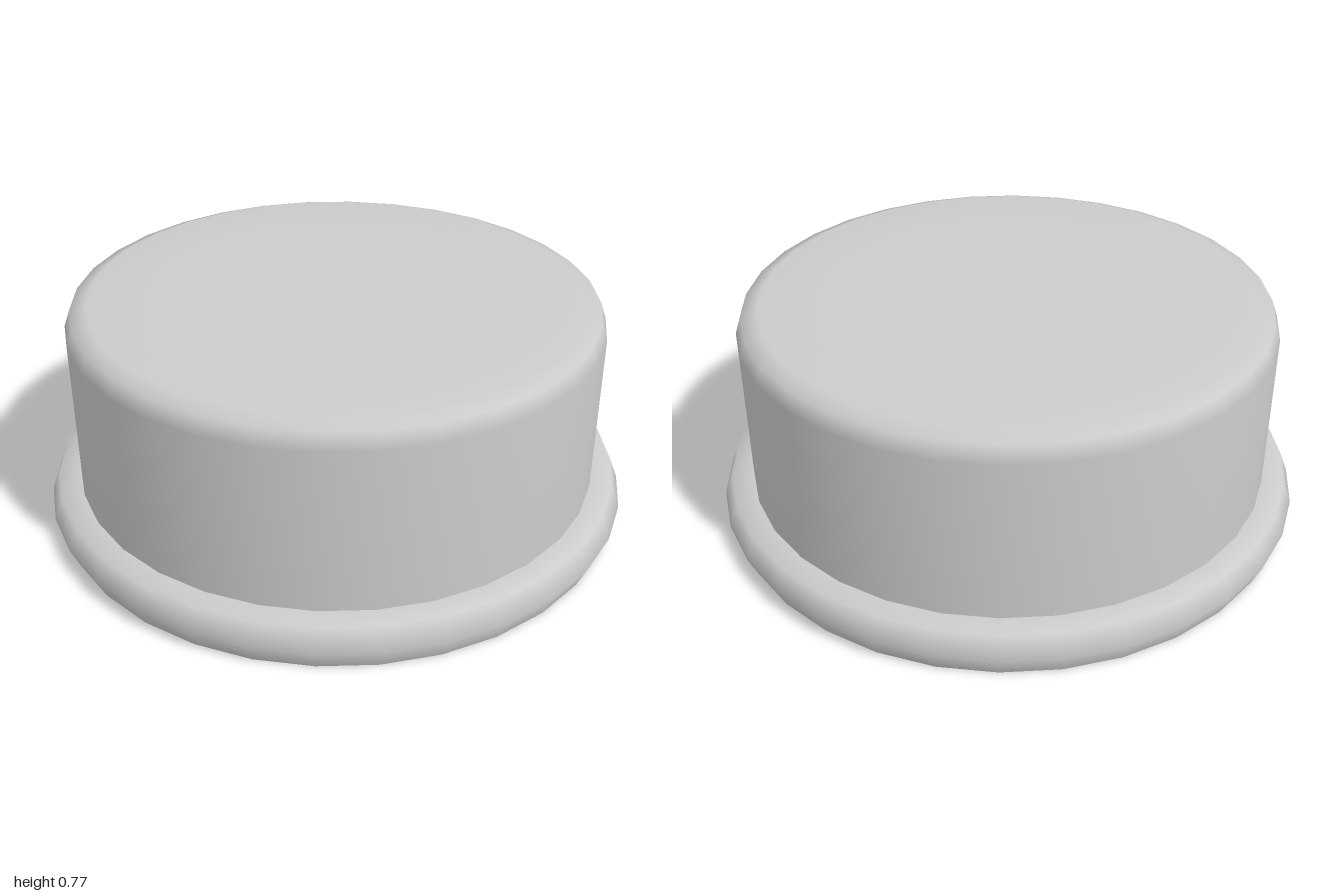
import * as THREE from 'three';

const SIDES = 32;
const material = new THREE.MeshStandardMaterial({ color: 0xcccccc });

// Smooth surface of revolution from [radius, height] pairs, listed bottom to top
function turned(name, profile) {
  const points = profile.map(([r, y]) => new THREE.Vector2(r, y));
  const mesh = new THREE.Mesh(new THREE.LatheGeometry(points, SIDES), material);
  mesh.name = name;
  return mesh;
}

export function createModel() {
  const group = new THREE.Group();
  group.name = 'roundButton';

  // Drum with a softened top edge
  group.add(turned('cap', [
    [0.895, 0.145], [0.895, 0.695], [0.875, 0.75], [0.82, 0.77], [0.62, 0.772], [0, 0.772],
  ]));

  // Bulging base flange
  group.add(turned('baseRim', [
    [0.97, 0], [1, 0.07], [0.97, 0.145], [0.885, 0.145],
  ]));

  // Flat underside
  group.add(turned('underside', [[0, 0], [0.97, 0]]));

  return group;
}
